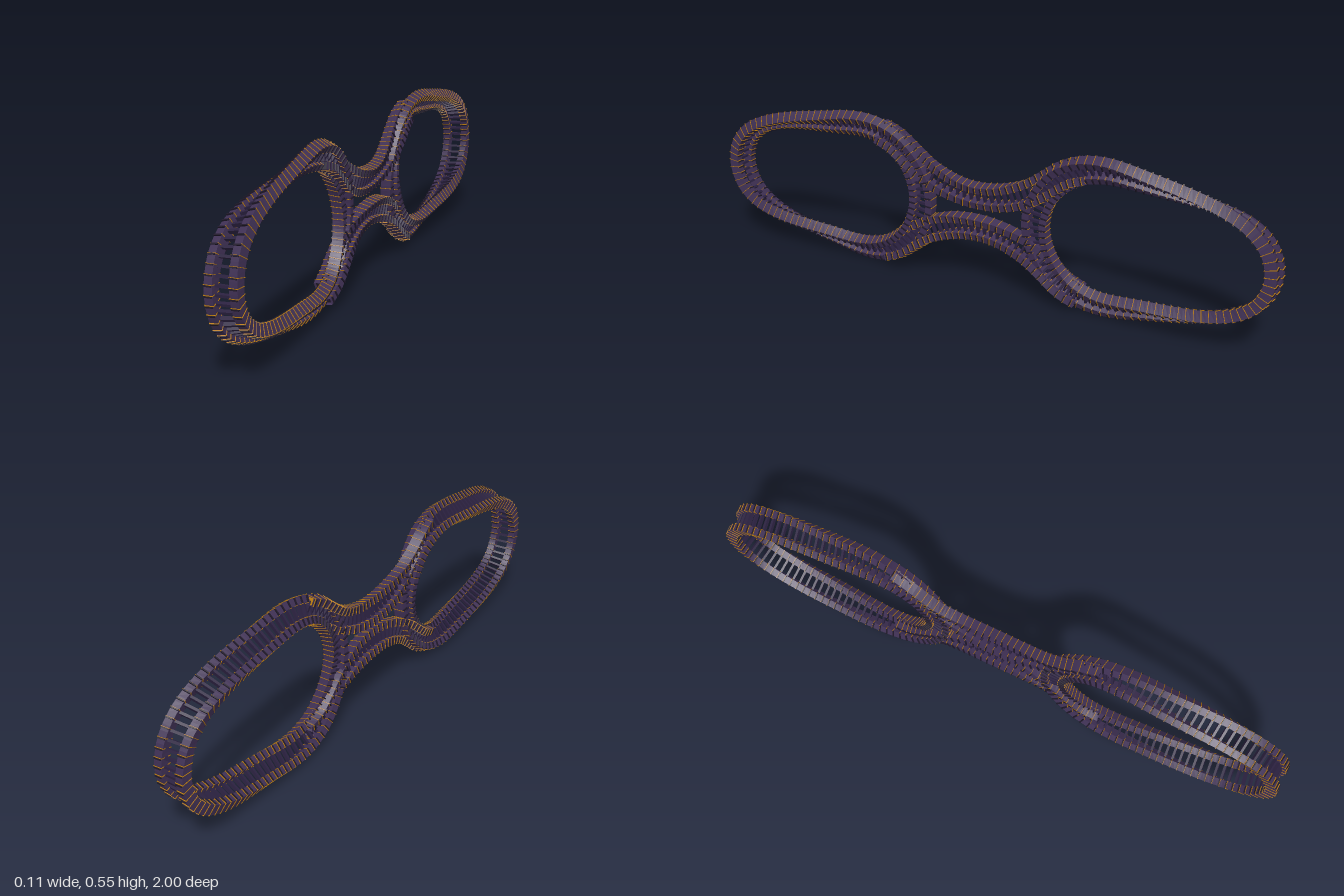
import * as THREE from 'three';
import { mergeGeometries } from 'three/addons/utils/BufferGeometryUtils.js';

const MID = 0.281;       // height of the horizontal axis
const RAIL_W = 0.024;    // rail size across the ladder
const RAIL_H = 0.035;    // rail size along the ladder's normal
const STEP = 0.025;      // rung spacing

const material = (color) =>
  new THREE.MeshStandardMaterial({ color, flatShading: true, side: THREE.DoubleSide });

// upper half of a loop as [z, y], from the outer end to the inner end
const HALF_LOOP = [
  [0.978, MID], [0.957, 0.36], [0.9, 0.418], [0.8, 0.459], [0.6, 0.492],
  [0.43, 0.507], [0.33, 0.48], [0.26, 0.42], [0.222, 0.35], [0.21, MID],
];
// half of the upper neck strand, from the loop to the middle
const HALF_NECK = [[0.37, 0.497], [0.31, 0.472], [0.25, 0.427], [0.19, 0.386], [0.1, 0.351], [0, 0.338]];

const toCurve = (points, closed) =>
  new THREE.CatmullRomCurve3(points.map(([z, y]) => new THREE.Vector3(0, y, z)), closed);

// frame of the twisting ladder at t: position, rung direction, normal, tangent
function frameAt(track, t) {
  const p = track.curve.getPointAt(t);
  const tangent = track.curve.getTangentAt(t);
  const outward = new THREE.Vector3(1, 0, 0).cross(tangent).multiplyScalar(track.side);
  const angle = track.twist(t);
  const across = new THREE.Vector3(Math.cos(angle), 0, 0).addScaledVector(outward, Math.sin(angle));
  const normal = tangent.clone().cross(across);
  // rails stand slightly closer where the ladder lies flat
  const half = 0.036 - 0.005 * Math.sin(angle) ** 4;
  return { p, across, normal, tangent, half };
}

// rectangular rail swept beside the track
function railGeometry(track, sign, segments) {
  const positions = [], index = [];
  const corners = [[-1, -1], [1, -1], [1, 1], [-1, 1]];
  for (let i = 0; i <= segments; i++) {
    const f = frameAt(track, i / segments);
    for (const [a, b] of corners) {
      const v = f.p.clone()
        .addScaledVector(f.across, sign * f.half + a * RAIL_W / 2)
        .addScaledVector(f.normal, b * RAIL_H / 2);
      positions.push(v.x, v.y, v.z);
    }
    if (i === segments) break;
    for (let k = 0; k < 4; k++) {
      const a = i * 4 + k, b = i * 4 + (k + 1) % 4;
      index.push(a, b, b + 4, a, b + 4, a + 4);
    }
  }
  const g = new THREE.BufferGeometry();
  g.setAttribute('position', new THREE.Float32BufferAttribute(positions, 3));
  g.setIndex(index);
  g.computeVertexNormals();
  return g;
}

// box placed in a ladder frame, shifted across and along the track
function frameBox(f, w, h, d, across, along = 0) {
  const g = new THREE.BoxGeometry(w, h, d);
  const m = new THREE.Matrix4().makeBasis(f.across, f.normal, f.tangent);
  m.setPosition(f.p.clone().addScaledVector(f.across, across).addScaledVector(f.tangent, along));
  return g.applyMatrix4(m);
}

function buildLadder(name, track, mats) {
  const group = new THREE.Group();
  group.name = name;
  const length = track.curve.getLength();
  const count = Math.round(length / STEP);
  const rungs = [], collars = [], stripes = [];
  for (let i = 0; i < count; i++) {
    const f = frameAt(track, (i + 0.5) / count);
    rungs.push(frameBox(f, f.half * 2, 0.012, 0.008, 0));
    for (const s of [-1, 1]) {
      // teeth stand out on the two normal faces, the outer faces stay nearly smooth
      collars.push(frameBox(f, RAIL_W - 0.002, RAIL_H + 0.009, 0.004, s * f.half));
      stripes.push(frameBox(f, RAIL_W + 0.003, RAIL_H + 0.004, 0.0016, s * f.half, 0.0026));
    }
  }
  const add = (partName, geometry, mat) => {
    const mesh = new THREE.Mesh(geometry, mat);
    mesh.name = partName;
    group.add(mesh);
  };
  const segments = Math.round(length / 0.015);
  add('firstRail', railGeometry(track, 1, segments), mats.rail);
  add('secondRail', railGeometry(track, -1, segments), mats.rail);
  add('rungs', mergeGeometries(rungs), mats.rung);
  add('railTeeth', mergeGeometries(collars), mats.collar);
  add('railStripes', mergeGeometries(stripes), mats.stripe);
  return group;
}

export function createModel() {
  const model = new THREE.Group();
  model.name = 'twistedLadderTrack';
  const mats = {
    rail: material(0x3f3054),
    rung: material(0x2b2140),
    collar: material(0x1f1829),
    stripe: material(0xb87a0a),
  };

  // two end loops, each with a half twist
  const lower = HALF_LOOP.slice(1, -1).reverse().map(([z, y]) => [z, 2 * MID - y]);
  const loop = [...HALF_LOOP, ...lower];
  for (const side of [1, -1]) {
    const curve = toCurve(loop.map(([z, y]) => [side * z, y]), true);
    const track = { curve, side, twist: (t) => Math.PI * t };
    model.add(buildLadder(side > 0 ? 'frontLoop' : 'backLoop', track, mats));
  }

  // upper and lower neck strands, swaying slightly, the lower one turned half round the long axis
  const neck = [...HALF_NECK, ...HALF_NECK.slice(0, -1).reverse().map(([z, y]) => [-z, y])];
  const neckTrack = {
    curve: toCurve(neck, false),
    side: 1,
    twist: (t) => Math.PI / 2 - 0.28 * Math.cos(4.2 * (2 * t - 1)),
  };
  model.add(buildLadder('upperNeck', neckTrack, mats));
  const lowerNeck = buildLadder('lowerNeck', neckTrack, mats);
  lowerNeck.rotation.z = Math.PI;
  lowerNeck.position.y = 2 * MID;
  model.add(lowerNeck);
  return model;
}
